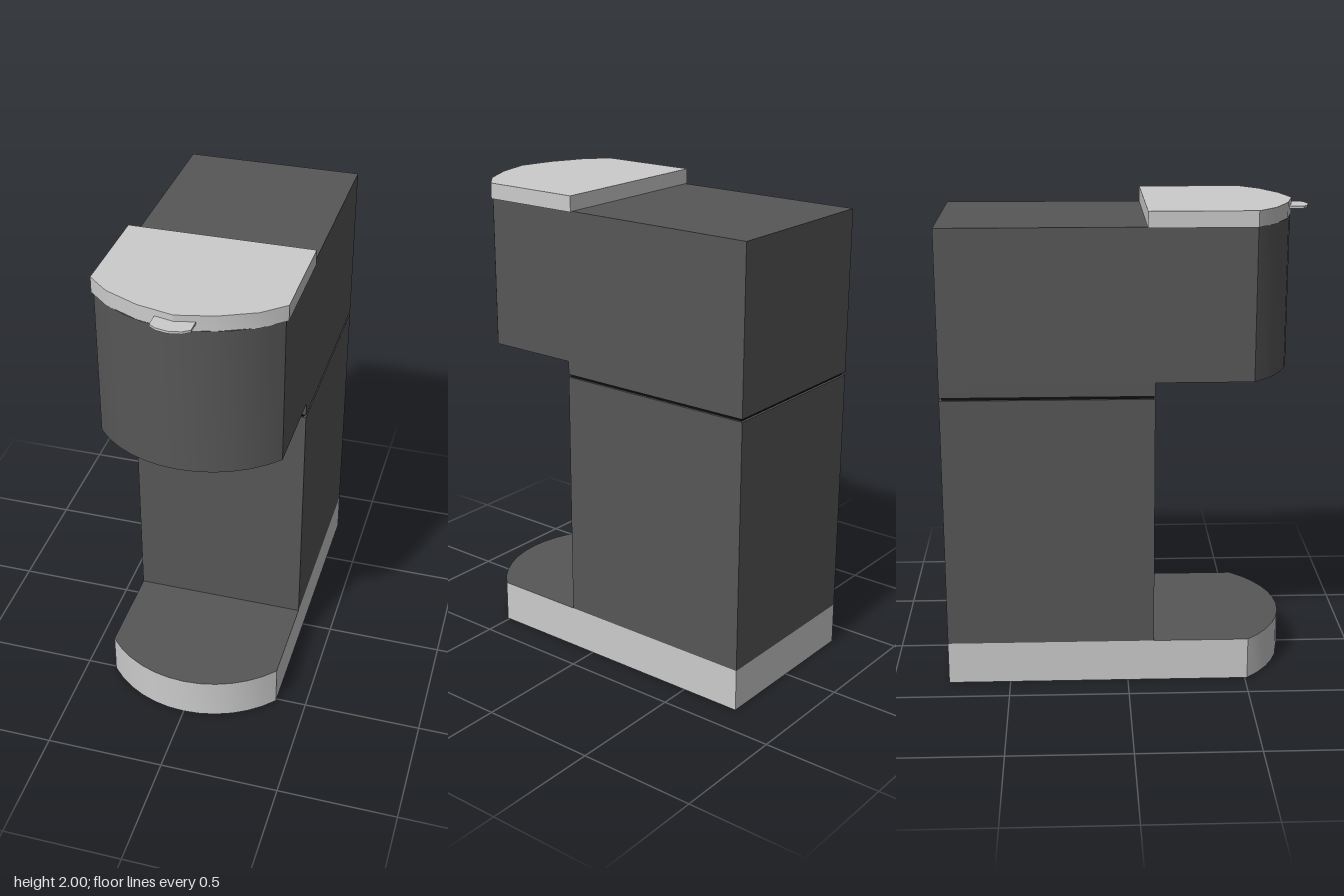
import * as THREE from 'three';
import { toCreasedNormals } from 'three/addons/utils/BufferGeometryUtils.js';

const grey = new THREE.MeshStandardMaterial({ color: 0xcccccc });
const dark = new THREE.MeshStandardMaterial({ color: 0x575757 });
const black = new THREE.MeshStandardMaterial({ color: 0x0c0c0c });

// Plan outline: straight back and sides, front given as points from +x round to the middle, mirrored.
function plan(back, half) {
  const front = half.concat(half.slice(0, -1).reverse().map(([x, z]) => [-x, z]));
  const side = half[0][0];
  return [[-side, back], [side, back], ...front].map(([x, z]) => new THREE.Vector2(x, z));
}

// Vertical slab of a plan outline between two heights; material is [caps, sides].
function slab(name, outline, y0, y1, material) {
  const geo = new THREE.ExtrudeGeometry(new THREE.Shape(outline), { depth: y1 - y0, bevelEnabled: false });
  geo.rotateX(Math.PI / 2).translate(0, y1, 0);
  const mesh = new THREE.Mesh(toCreasedNormals(geo, 0.3), material);
  mesh.name = name;
  return mesh;
}

function box(name, halfWidth, y0, y1, z0, z1, material) {
  const mesh = new THREE.Mesh(new THREE.BoxGeometry(halfWidth * 2, y1 - y0, z1 - z0), material);
  mesh.position.set(0, (y0 + y1) / 2, (z0 + z1) / 2);
  mesh.name = name;
  return mesh;
}

export function createModel() {
  const group = new THREE.Group();
  group.name = 'coffeeMachine';

  // Shallow bowed front shared by base and head
  const R = 0.488, sweep = Math.asin(0.37 / R), steps = 6, bow = [];
  for (let i = 0; i <= steps; i++) {
    const a = sweep * (1 - i / steps);
    bow.push([R * Math.sin(a), 0.68 - R + R * Math.cos(a)]);
  }
  const bodyPlan = plan(-0.76, bow);

  // Base with dark tray surface
  group.add(slab('base', bodyPlan, 0, 0.18, [dark, grey]));

  // Column, black seam and overhanging brew head
  group.add(box('column', 0.37, 0.18, 1.242, -0.76, 0.11, dark));
  group.add(box('seam', 0.36, 1.242, 1.254, -0.75, 0.105, black));
  group.add(box('headNeck', 0.37, 1.254, 1.31, -0.76, 0.11, dark));
  group.add(slab('brewHead', bodyPlan, 1.31, 1.937, [dark, dark]));

  // Round outlet under the head
  const outlet = new THREE.Mesh(new THREE.CylinderGeometry(0.212, 0.212, 0.045, 16), [grey, dark, dark]);
  outlet.position.set(0, 1.2975, 0.38);
  outlet.name = 'outlet';
  group.add(outlet);

  // Faceted lid and its thin lifting tab
  const lidPlan = plan(0.077, [[0.38, 0.51], [0.29, 0.59], [0.15, 0.655], [0, 0.69]]);
  group.add(slab('lid', lidPlan, 1.935, 2, [grey, grey]));
  const tabPlan = plan(0.64, [[0.078, 0.73], [0.05, 0.75], [0, 0.76]]);
  group.add(slab('lidTab', tabPlan, 1.964, 1.974, [grey, grey]));

  return group;
}
